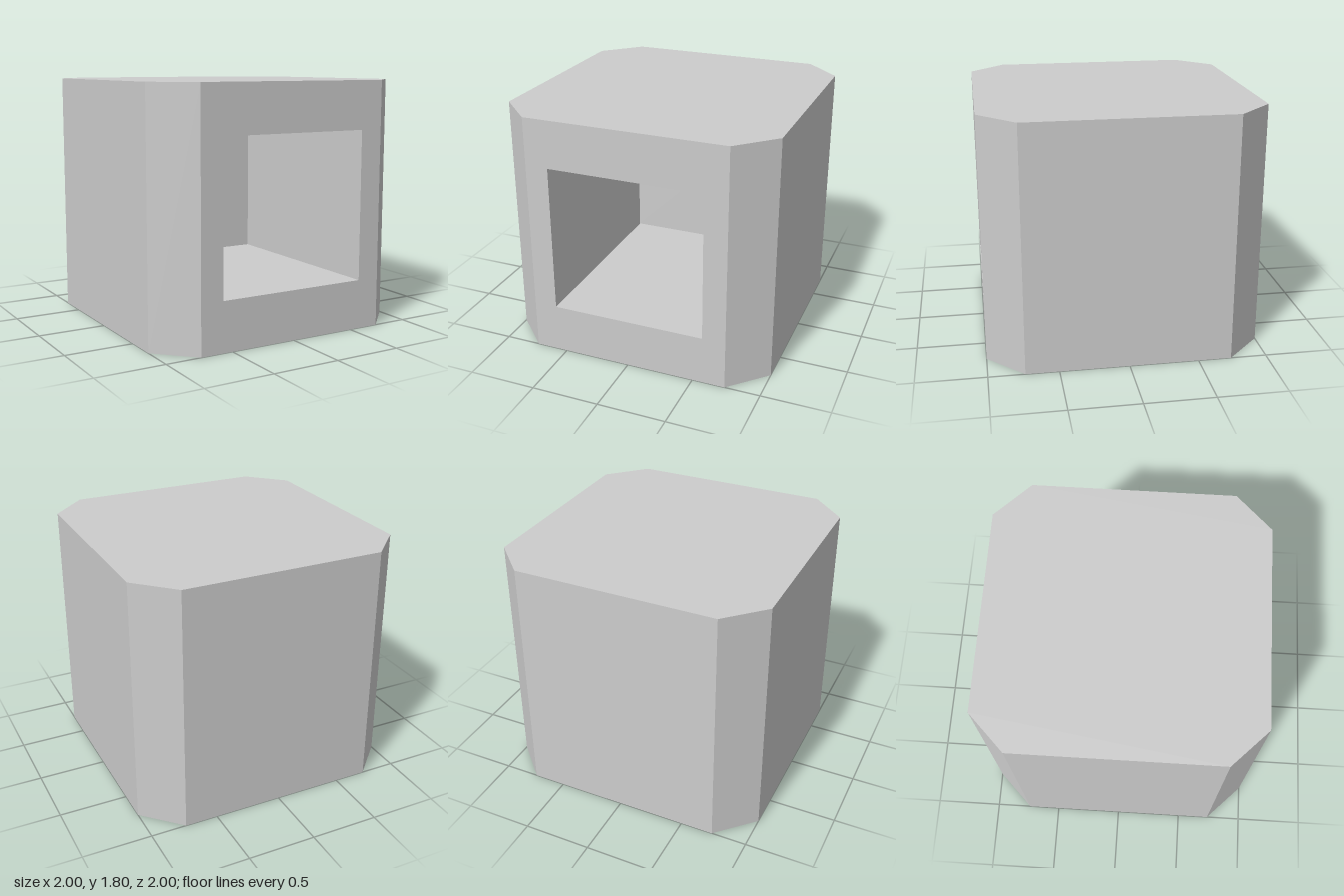
import * as THREE from 'three';
import { mergeGeometries } from 'three/addons/utils/BufferGeometryUtils.js';

const HEIGHT = 1.8, HALF = 1, CUT = 0.74;
const HOLE = { x: 0.57, bottom: 0.36, top: 1.45, depth: 1.51 };

// Flat rectangle centred at a point, turned about x then y
function panel(width, height, x, y, z, turnX, turnY) {
  return new THREE.PlaneGeometry(width, height).rotateX(turnX).rotateY(turnY).translate(x, y, z);
}

export function createModel() {
  const grey = new THREE.MeshStandardMaterial({ color: 0xcccccc });
  grey.name = 'grey';
  const model = new THREE.Group();
  model.name = 'hollowBlock';
  const add = (name, geometry) => {
    const mesh = new THREE.Mesh(geometry, grey);
    mesh.name = name;
    model.add(mesh);
  };

  // Outer walls: flat sides and chamfered corners alternate; the front is separate
  const chamferWidth = (HALF - CUT) * Math.SQRT2;
  const chamferDistance = (HALF + CUT) / Math.SQRT2;
  const walls = [];
  for (let i = 1; i < 8; i++) {
    const angle = i * Math.PI / 4;
    const corner = i % 2 === 1;
    const d = corner ? chamferDistance : HALF;
    walls.push(panel(corner ? chamferWidth : 2 * CUT, HEIGHT,
      Math.sin(angle) * d, HEIGHT / 2, Math.cos(angle) * d, 0, angle));
  }
  add('outerWalls', mergeGeometries(walls));

  // Octagonal top and base
  const octagon = new THREE.Shape([
    [CUT, -HALF], [HALF, -CUT], [HALF, CUT], [CUT, HALF],
    [-CUT, HALF], [-HALF, CUT], [-HALF, -CUT], [-CUT, -HALF],
  ].map(([x, y]) => new THREE.Vector2(x, y)));
  add('top', new THREE.ShapeGeometry(octagon).rotateX(-Math.PI / 2).translate(0, HEIGHT, 0));
  add('base', new THREE.ShapeGeometry(octagon).rotateX(Math.PI / 2));

  // Front face with a rectangular opening
  const rect = (x, y0, y1) => [[-x, y0], [x, y0], [x, y1], [-x, y1]]
    .map(([px, py]) => new THREE.Vector2(px, py));
  const front = new THREE.Shape(rect(CUT, 0, HEIGHT));
  front.holes.push(new THREE.Path(rect(HOLE.x, HOLE.bottom, HOLE.top).reverse()));
  add('frontFrame', new THREE.ShapeGeometry(front).translate(0, 0, HALF));

  // Inward-facing faces of the deep recess
  const w = 2 * HOLE.x, h = HOLE.top - HOLE.bottom;
  const midY = (HOLE.top + HOLE.bottom) / 2, midZ = HALF - HOLE.depth / 2;
  add('recess', mergeGeometries([
    panel(HOLE.depth, h, -HOLE.x, midY, midZ, 0, Math.PI / 2),
    panel(HOLE.depth, h, HOLE.x, midY, midZ, 0, -Math.PI / 2),
    panel(w, HOLE.depth, 0, HOLE.bottom, midZ, -Math.PI / 2, 0),
    panel(w, HOLE.depth, 0, HOLE.top, midZ, Math.PI / 2, 0),
    panel(w, h, 0, midY, HALF - HOLE.depth, 0, 0),
  ]));

  return model;
}
